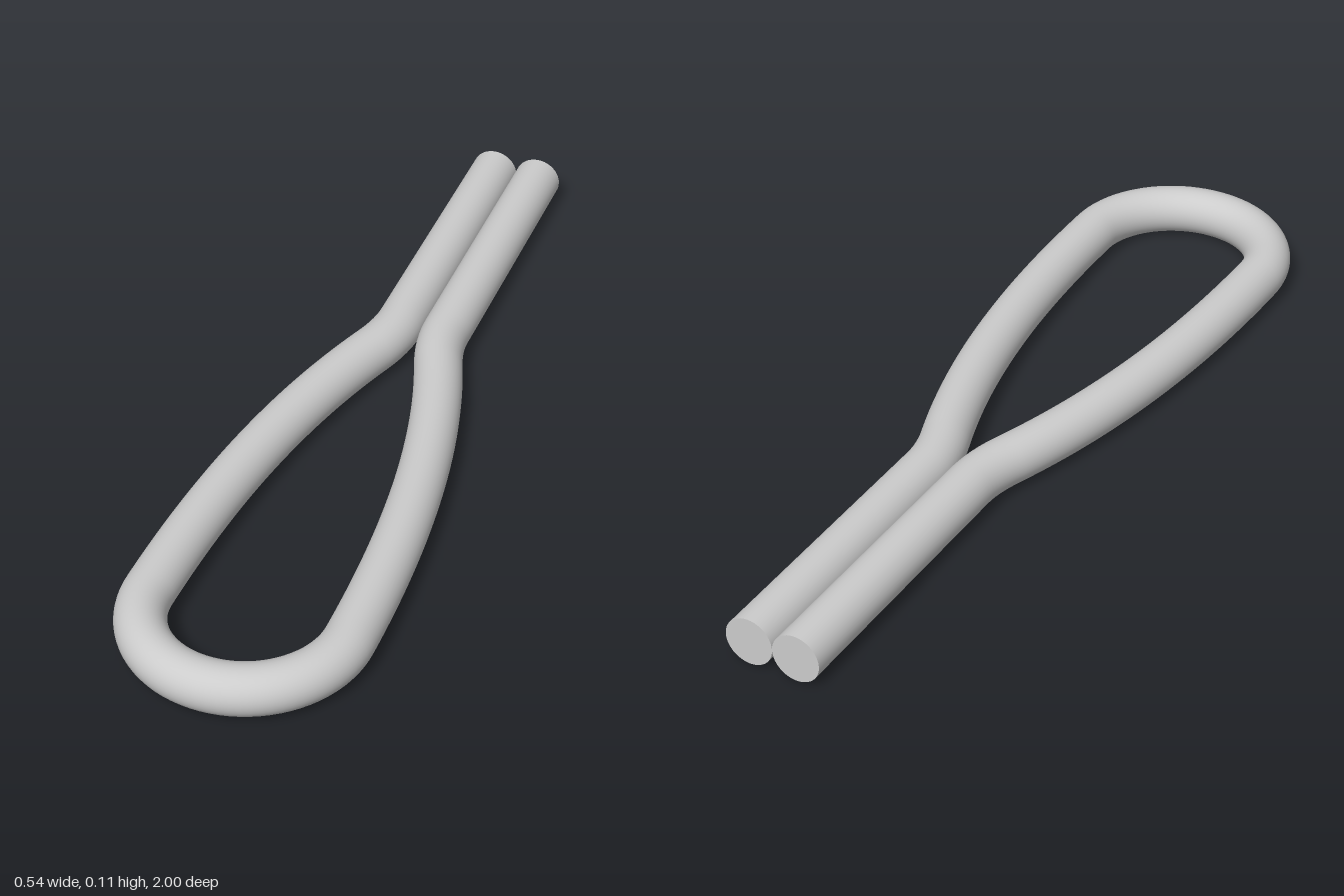
import * as THREE from 'three';

const R = 0.0545; // rod radius, also its centre height

export function createModel() {
  const group = new THREE.Group();
  const material = new THREE.MeshStandardMaterial({ color: 0xcccccc });
  const p = (x, z) => new THREE.Vector3(x, R, z);

  // Centre line of the +x half, from the rod end round to the loop tip
  const loopX = 0.218, bowZ = 0.727, k = 0.5523 * loopX;
  const half = [
    [p(R, -1), p(R, -0.77), p(R, -0.55), p(R, -0.33)],                      // straight shank
    [p(R, -0.33), p(R, -0.289), p(0.063, -0.246), p(0.08, -0.2)],           // bend outwards
    [p(0.08, -0.2), p(0.17, 0.05), p(loopX, 0.35), p(loopX, bowZ)],         // long side
    [p(loopX, bowZ), p(loopX, bowZ + k), p(k, bowZ + loopX), p(0, bowZ + loopX)], // quarter bow
  ];
  const flip = (v) => p(-v.x, v.z);
  const mirrored = half.map((c) => c.map(flip).reverse()).reverse();
  const path = new THREE.CurvePath();
  for (const c of [...half, ...mirrored]) path.add(new THREE.CubicBezierCurve3(...c));

  const rod = new THREE.Mesh(new THREE.TubeGeometry(path, 240, R, 40), material);
  rod.name = 'bentRod';
  group.add(rod);

  // Flat cut ends of the two shanks
  for (const side of [-1, 1]) {
    const cap = new THREE.Mesh(new THREE.CircleGeometry(R, 40), material);
    cap.name = side > 0 ? 'leftRodEnd' : 'rightRodEnd';
    cap.position.set(side * R, R, -1);
    cap.rotation.y = Math.PI;
    group.add(cap);
  }
  return group;
}
